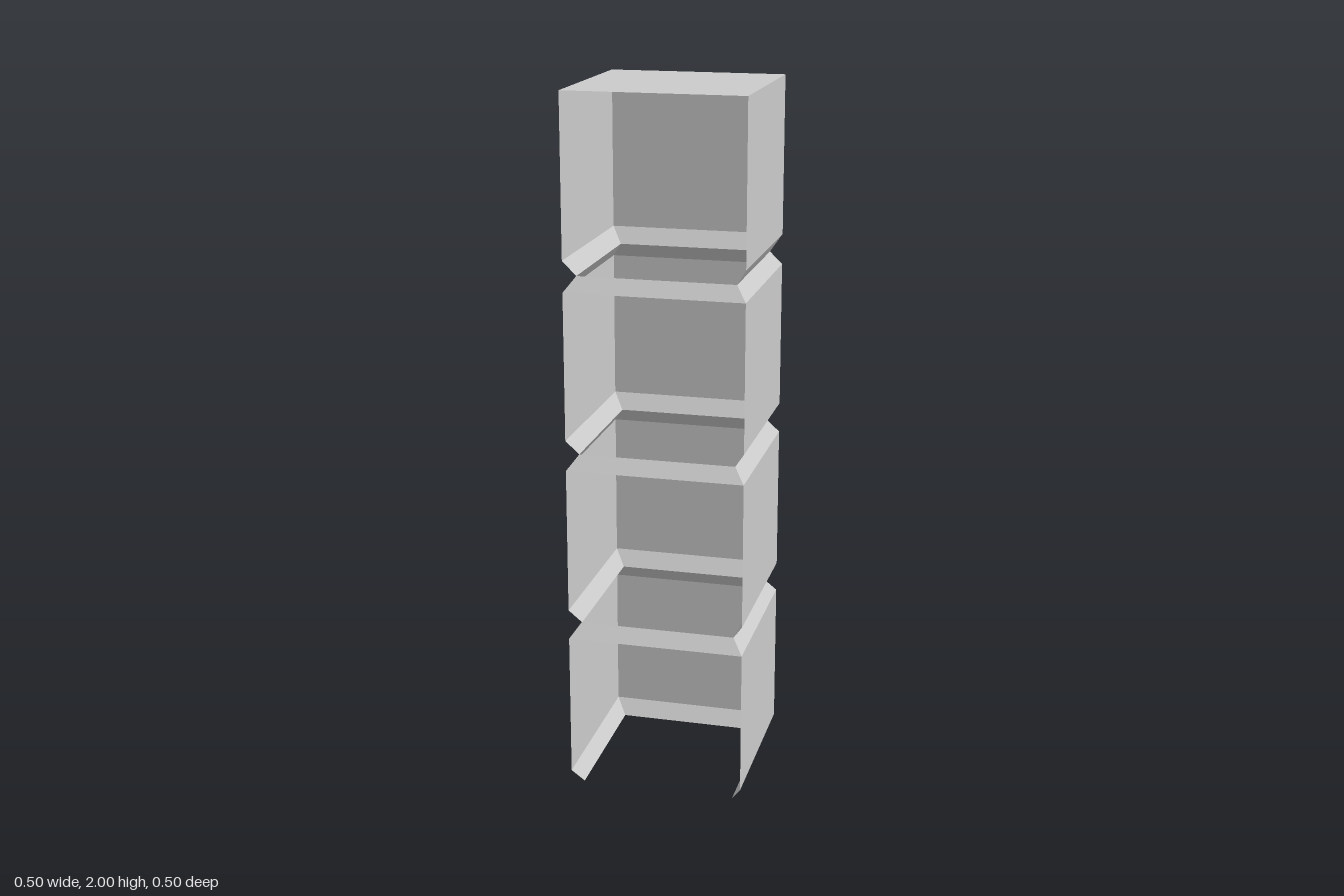
import * as THREE from 'three';

const HALF = 0.25;    // half width of a box
const WAIST = 0.22;   // half width at the joints
const PITCH = 0.502;  // height of one box
const BEVEL = 0.046;  // height of the lower bevel
const SHOULDER = 0.461; // where the upper bevel starts

export function createModel() {
  const model = new THREE.Group();
  model.name = 'boxColumn';
  const material = new THREE.MeshStandardMaterial({
    color: 0xcccccc, flatShading: true, side: THREE.DoubleSide,
  });

  // Square band of thin wall between two heights; the front side is optional
  function band(name, parent, y0, half0, y1, half1, closed) {
    const sides = closed ? 4 : 3;
    const geometry = new THREE.CylinderGeometry(
      half1 * Math.SQRT2, half0 * Math.SQRT2, y1 - y0,
      sides, 1, true, Math.PI / 4, sides * Math.PI / 2);
    const mesh = new THREE.Mesh(geometry, material);
    mesh.name = name;
    mesh.position.y = (y0 + y1) / 2;
    parent.add(mesh);
  }

  // Four stacked compartments, open at the front and underneath
  for (let i = 0; i < 4; i++) {
    const box = new THREE.Group();
    box.name = 'compartment' + (i + 1);
    box.position.y = i * PITCH;
    model.add(box);
    const isTop = i === 3;
    const wallTop = isTop ? 2 - i * PITCH : SHOULDER;
    band('lowerBevel', box, 0, WAIST, BEVEL, HALF, false);
    band('walls', box, BEVEL, HALF, wallTop, HALF, false);
    // Upper bevel runs all the way round, crossing the open front
    if (!isTop) band('upperBevel', box, SHOULDER, HALF, PITCH, WAIST, true);
  }

  // Flat lid
  const lid = new THREE.Mesh(new THREE.PlaneGeometry(2 * HALF, 2 * HALF), material);
  lid.name = 'lid';
  lid.rotation.x = -Math.PI / 2;
  lid.position.y = 2;
  model.add(lid);

  return model;
}
